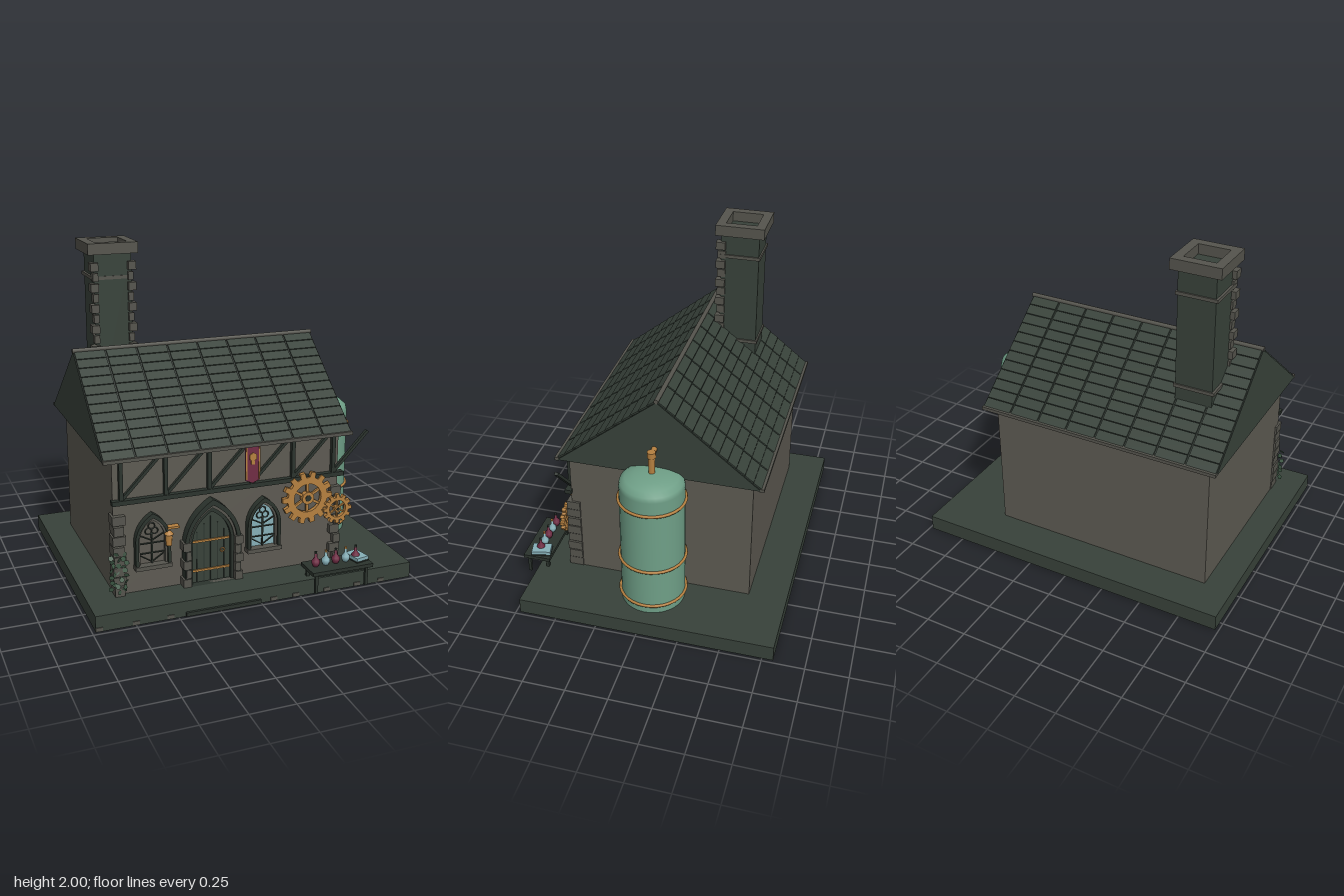
import * as THREE from 'three';

const mat = (name, color) => {
  const m = new THREE.MeshStandardMaterial({ color, side: THREE.DoubleSide });
  m.name = name;
  return m;
};

export function createModel() {
  const slate = mat('slate green', 0x38423a), timber = mat('dark timber', 0x2b332d);
  const stone = mat('wall stone', 0x5d5a52), trim = mat('trim stone', 0x55544d);
  const copper = mat('green copper', 0x6f9f87), brass = mat('brass', 0xb58040);
  const crimson = mat('crimson', 0x702c44), glass = mat('pale blue glass', 0x86b0b8);
  const leafGreen = mat('leaf green', 0x3f5a46);
  const model = new THREE.Group();

  const group = (name, parent = model) => {
    const g = new THREE.Group();
    g.name = name;
    parent.add(g);
    return g;
  };
  const add = (parent, name, geo, m, x = 0, y = 0, z = 0) => {
    const mesh = new THREE.Mesh(geo, m);
    mesh.name = name;
    mesh.position.set(x, y, z);
    parent.add(mesh);
    return mesh;
  };
  // box given by its limits
  const box = (parent, name, m, x0, x1, y0, y1, z0, z1) =>
    add(parent, name, new THREE.BoxGeometry(x1 - x0, y1 - y0, z1 - z0), m, (x0 + x1) / 2, (y0 + y1) / 2, (z0 + z1) / 2);
  // flat bar between two points in a plane of constant z
  const bar = (parent, name, m, x0, y0, x1, y1, width, z, depth) => {
    const b = add(parent, name, new THREE.BoxGeometry(Math.hypot(x1 - x0, y1 - y0), width, depth), m, (x0 + x1) / 2, (y0 + y1) / 2, z);
    b.rotation.z = Math.atan2(y1 - y0, x1 - x0);
    return b;
  };
  const extrude = (shape, depth) => new THREE.ExtrudeGeometry(shape, { depth, bevelEnabled: false, curveSegments: 10 });
  const arch = (half, base, spring, apex, C = THREE.Shape) => {
    const s = new C();
    s.moveTo(-half, base);
    s.lineTo(half, base);
    s.lineTo(half, spring);
    s.quadraticCurveTo(half * 0.9, spring + (apex - spring) * 0.65, 0, apex);
    s.quadraticCurveTo(-half * 0.9, spring + (apex - spring) * 0.65, -half, spring);
    s.closePath();
    return s;
  };
  const archFrame = (o, i) => {
    const s = arch(...o);
    s.holes.push(arch(...i, THREE.Path));
    return s;
  };

  // Ground slab with step and cobbles
  box(model, 'baseSlab', slate, -0.98, 0.98, 0, 0.095, -0.815, 0.725);
  box(model, 'frontStep', timber, -0.46, -0.005, 0.005, 0.028, 0.7, 0.74);
  for (const x of [-0.96, -0.75, -0.55, 0.08, 0.22, 0.42, 0.62, 0.78])
    box(model, 'cobble', trim, x - 0.02, x + 0.02, 0.004, 0.026, 0.71, 0.73);

  // House body
  box(model, 'walls', stone, -0.81, 0.575, 0.095, 0.93, -0.587, 0.513);

  // Roof: solid prism, rows of slates, ridge and eaves
  const roof = group('roof');
  const x0 = -0.872, x1 = 0.637, ridgeZ = -0.04, ridgeY = 1.39, eaveY = 0.91, run = 0.6;
  const tri = new THREE.Shape([[-run, eaveY], [run, eaveY], [0, ridgeY]].map(p => new THREE.Vector2(...p)));
  const prism = add(roof, 'roofCore', extrude(tri, x1 - x0), timber, x0, 0, ridgeZ);
  prism.rotation.y = Math.PI / 2;
  for (const x of [x0 - 0.002, x1 + 0.002]) {
    const g = add(roof, 'gable', new THREE.ShapeGeometry(tri), slate, x, 0, ridgeZ);
    g.rotation.y = x > 0 ? Math.PI / 2 : -Math.PI / 2;
  }
  const rows = 12, cols = 8, slope = Math.atan2(ridgeY - eaveY, run);
  const len = Math.hypot(run, ridgeY - eaveY), w = (x1 - x0) / cols;
  for (const side of [1, -1]) {
    const face = group('roofSlope', roof);
    face.position.set(0, ridgeY, ridgeZ);
    face.rotation.y = side > 0 ? 0 : Math.PI;
    const pitch = group('slates', face);
    pitch.rotation.x = slope;
    const mid = side * (x0 + x1) / 2;
    for (let r = 0; r < rows; r++) for (let c = 0; c < cols; c++) {
      const t = add(pitch, 'slate', new THREE.BoxGeometry(w - 0.01, 0.008, len / rows - 0.003), slate,
        mid + (c - (cols - 1) / 2) * w, 0.006, (r + 0.5) * len / rows);
      t.rotation.x = -0.06;
    }
    const ez = ridgeZ + side * (run + 0.005);
    box(roof, 'eaveBoard', trim, x0, x1, 0.903, 0.923, ez - 0.013, ez + 0.013);
  }
  const ridge = add(roof, 'ridgeCap', new THREE.CylinderGeometry(0.014, 0.014, x1 - x0 + 0.01, 8), trim, (x0 + x1) / 2, 1.397, ridgeZ);
  ridge.rotation.z = Math.PI / 2;

  // Chimney
  const chimney = group('chimney');
  box(chimney, 'shaft', slate, -0.71, -0.485, 0.98, 1.94, -0.365, -0.13);
  const ring = (name, y0, y1, ho, hi) => {
    const s = new THREE.Shape([[-ho, -ho], [ho, -ho], [ho, ho], [-ho, ho]].map(p => new THREE.Vector2(...p)));
    s.holes.push(new THREE.Path([[-hi, -hi], [-hi, hi], [hi, hi], [hi, -hi]].map(p => new THREE.Vector2(...p))));
    add(chimney, name, extrude(s, y1 - y0), trim, -0.6, y0, -0.25).rotation.x = -Math.PI / 2;
  };
  ring('cap', 1.935, 2, 0.15, 0.095);
  ring('upperBand', 1.785, 1.805, 0.124, 0.1);
  ring('lowerBand', 1.22, 1.24, 0.124, 0.1);
  for (let i = 0; i < 10; i++) for (const s of [-1, 1]) {
    const y = 1.29 + i * 0.061, out = i % 2 ? 0.137 : 0.122, a = -0.6 + s * 0.09, b = -0.6 + s * out;
    box(chimney, 'chimneyQuoin', trim, Math.min(a, b), Math.max(a, b), y, y + 0.048, -0.16, i % 2 ? -0.102 : -0.11);
  }

  // Corner stones of the front wall
  const quoins = group('cornerStones');
  for (let i = 0; i < 8; i++) {
    const y = 0.097 + i * 0.061, k = i % 2 ? 0.012 : 0, j = i % 3 === 0 ? 0.006 : 0;
    box(quoins, 'leftQuoin', trim, -0.822 + j, -0.758 + k, y, y + 0.054, 0.46, 0.548 - k / 2);
    box(quoins, 'rightQuoin', trim, 0.545 - k * 2, 0.588 - j, y, y + 0.054, 0.46, 0.548 - k / 2);
  }

  // Timber framing
  const frame = group('timberFrame');
  box(frame, 'lowerBeam', timber, -0.82, 0.6, 0.643, 0.67, 0.505, 0.545);
  box(frame, 'upperBeam', timber, -0.82, 0.6, 0.892, 0.915, 0.505, 0.54);
  for (let i = 0; i < 6; i++) {
    const x = -0.765 + i * 0.26;
    box(frame, 'post', timber, x - 0.011, x + 0.011, 0.66, 0.9, 0.505, 0.54);
    bar(frame, 'brace', timber, x + 0.005, 0.67, x + 0.225, 0.9, 0.018, 0.522, 0.022);
  }

  // Arched door
  const door = group('door');
  door.position.set(-0.235, 0, 0.51);
  add(door, 'outerArch', extrude(archFrame([0.172, 0.095, 0.36, 0.615], [0.148, 0.095, 0.36, 0.58]), 0.06), timber);
  add(door, 'archStone', extrude(archFrame([0.148, 0.095, 0.36, 0.58], [0.135, 0.095, 0.36, 0.56]), 0.045), trim);
  add(door, 'innerArch', extrude(archFrame([0.135, 0.095, 0.36, 0.56], [0.118, 0.095, 0.36, 0.535]), 0.035), timber);
  add(door, 'doorLeaf', extrude(arch(0.12, 0.095, 0.36, 0.54), 0.012), slate);
  for (let i = -2; i <= 2; i++)
    box(door, 'plankGap', timber, i * 0.042 - 0.003, i * 0.042 + 0.003, 0.097, 0.5 - Math.abs(i) * 0.045, 0.01, 0.015);
  for (const y of [0.17, 0.352]) box(door, 'hingeStrap', brass, -0.113, 0.113, y - 0.006, y + 0.006, 0.012, 0.021);
  add(door, 'handle', new THREE.TorusGeometry(0.012, 0.004, 6, 12), brass, 0.07, 0.28, 0.02);
  for (let i = 0; i < 5; i++) for (const s of [-1, 1]) {
    const y = 0.097 + i * 0.056, a = s * 0.135, b = s * (i % 2 ? 0.165 : 0.183);
    box(door, 'jambStone', trim, Math.min(a, b), Math.max(a, b), y, y + 0.05, 0, 0.065);
  }

  // Arched windows
  for (const [x, pane] of [[-0.59, stone], [0.09, glass]]) {
    const win = group('window');
    win.position.set(x, 0, 0.51);
    add(win, 'pane', extrude(arch(0.08, 0.255, 0.42, 0.54), 0.006), pane);
    add(win, 'surround', extrude(archFrame([0.104, 0.255, 0.42, 0.575], [0.086, 0.255, 0.42, 0.548]), 0.045), timber);
    add(win, 'innerSurround', extrude(archFrame([0.086, 0.255, 0.42, 0.548], [0.074, 0.255, 0.42, 0.53]), 0.028), trim);
    box(win, 'sill', trim, -0.108, 0.108, 0.24, 0.264, 0, 0.055);
    box(win, 'mullion', timber, -0.004, 0.004, 0.26, 0.45, 0.004, 0.016);
    for (const y of [0.325, 0.385]) box(win, 'glazingBar', timber, -0.075, 0.075, y - 0.003, y + 0.003, 0.004, 0.014);
    for (const s of [-1, 1]) {
      bar(win, 'lancetBar', timber, 0, 0.4, s * 0.075, 0.44, 0.006, 0.009, 0.01);
      bar(win, 'lancetBar', timber, 0, 0.27, s * 0.07, 0.315, 0.005, 0.009, 0.01);
    }
    for (let k = 0; k < 3; k++) {
      const a = Math.PI / 2 + k * Math.PI * 2 / 3;
      add(win, 'trefoil', new THREE.TorusGeometry(0.019, 0.004, 6, 16), timber, 0.021 * Math.cos(a), 0.468 + 0.021 * Math.sin(a), 0.01);
    }
  }

  // Wall lantern
  const lantern = group('lantern');
  box(lantern, 'bracket', brass, -0.505, -0.435, 0.468, 0.48, 0.52, 0.56);
  add(lantern, 'lanternBody', new THREE.CylinderGeometry(0.022, 0.018, 0.07, 8), brass, -0.497, 0.405, 0.55);
  add(lantern, 'lanternTop', new THREE.ConeGeometry(0.028, 0.03, 8), brass, -0.497, 0.452, 0.55);

  // Gears
  const gear = (name, x, y, teeth, tip, root, hole, hub, z) => {
    const g = group(name);
    g.position.set(x, y, z);
    const pts = [], step = Math.PI * 2 / teeth;
    for (let i = 0; i < teeth; i++)
      for (const [f, r] of [[-0.3, root], [-0.21, tip], [0.21, tip], [0.3, root]])
        pts.push(new THREE.Vector2(r * Math.cos((i + f) * step), r * Math.sin((i + f) * step)));
    const s = new THREE.Shape(pts);
    s.holes.push(new THREE.Path().absarc(0, 0, hole, 0, Math.PI * 2, true));
    add(g, 'toothedRim', extrude(s, 0.025), brass);
    for (let i = 0; i < 3; i++)
      add(g, 'spoke', new THREE.BoxGeometry(hole * 2.1, hub * 0.4, 0.014), brass, 0, 0, 0.012).rotation.z = i * Math.PI / 3 + Math.PI / 6;
    add(g, 'hub', new THREE.CylinderGeometry(hub, hub, 0.034, 16), brass, 0, 0, 0.014).rotation.x = Math.PI / 2;
    add(g, 'axle', new THREE.CylinderGeometry(hub * 0.5, hub * 0.5, 0.04, 10), timber, 0, 0, 0.014).rotation.x = Math.PI / 2;
  };
  gear('largeGear', 0.365, 0.535, 14, 0.16, 0.128, 0.088, 0.038, 0.53);
  gear('smallGear', 0.557, 0.445, 12, 0.092, 0.073, 0.053, 0.02, 0.545);

  // Banner
  const banner = group('banner');
  banner.position.set(0.013, 0, 0.545);
  const cloth = [[-0.046, 0.91], [-0.046, 0.695], [0, 0.675], [0.046, 0.695], [0.046, 0.91]];
  add(banner, 'cloth', extrude(new THREE.Shape(cloth.map(p => new THREE.Vector2(...p))), 0.006), crimson);
  for (const x of [-0.04, 0.04]) box(banner, 'bannerEdge', brass, x - 0.004, x + 0.004, 0.7, 0.91, 0.004, 0.011);
  add(banner, 'medallion', new THREE.CylinderGeometry(0.026, 0.026, 0.008, 6), brass, 0, 0.835, 0.009).rotation.x = Math.PI / 2;
  add(banner, 'medallionTail', new THREE.BoxGeometry(0.024, 0.03, 0.006), brass, 0, 0.805, 0.008);

  // Storage tank with hoops and pipe
  const tank = group('tank');
  tank.position.set(0.697, 0, -0.027);
  const profile = [[0.19, 0.095], [0.19, 0.89], [0.183, 0.92], [0.155, 0.945], [0.1, 0.962], [0.05, 0.968], [0, 0.97]];
  add(tank, 'tankBody', new THREE.LatheGeometry(profile.map(p => new THREE.Vector2(...p)), 32), copper);
  for (const y of [0.15, 0.402, 0.802])
    add(tank, 'hoop', new THREE.TorusGeometry(0.196, 0.009, 6, 32), brass, 0, y, 0).rotation.x = Math.PI / 2;
  add(tank, 'riser', new THREE.CylinderGeometry(0.019, 0.019, 0.14, 12), brass, 0, 1.025, 0);
  add(tank, 'elbow', new THREE.CylinderGeometry(0.025, 0.025, 0.035, 12), brass, 0, 1.088, 0);
  add(tank, 'crossPipe', new THREE.CylinderGeometry(0.017, 0.017, 0.13, 12), brass, -0.065, 1.088, 0).rotation.z = Math.PI / 2;

  // Table with flasks and book
  const table = group('table');
  box(table, 'tableTop', timber, 0.285, 0.675, 0.155, 0.177, 0.647, 0.815);
  box(table, 'apron', timber, 0.31, 0.65, 0.135, 0.156, 0.67, 0.79);
  for (const x of [0.318, 0.642]) for (const z of [0.67, 0.79])
    box(table, 'tableLeg', timber, x - 0.009, x + 0.009, 0.037, 0.156, z - 0.009, z + 0.009);
  const flask = [[0, 0], [0.016, 0], [0.025, 0.018], [0.024, 0.035], [0.009, 0.054], [0.008, 0.078], [0, 0.078]];
  for (let i = 0; i < 5; i++) {
    const x = 0.342 + i * 0.065;
    add(table, 'flask', new THREE.LatheGeometry(flask.map(p => new THREE.Vector2(...p)), 12), i % 2 ? glass : crimson, x, 0.178, 0.727);
    add(table, 'stopper', new THREE.CylinderGeometry(0.008, 0.007, 0.014, 8), i % 2 ? brass : timber, x, 0.262, 0.727);
  }
  const book = group('openBook', table);
  book.position.set(0.615, 0.19, 0.717);
  book.rotation.y = 0.22;
  add(book, 'pages', new THREE.BoxGeometry(0.085, 0.02, 0.115), glass, 0, 0.005, 0);
  add(book, 'cover', new THREE.BoxGeometry(0.09, 0.006, 0.12), timber, 0, -0.009, 0);

  // Ivy climbing the left corner
  const ivy = group('ivy');
  for (let i = 0; i < 26; i++) {
    const leaf = add(ivy, 'leaf', new THREE.CircleGeometry(0.017, 5), leafGreen,
      -0.795 + 0.045 * Math.sin(i * 2.4), 0.13 + i * 0.0092, 0.553 + 0.008 * Math.cos(i * 1.7));
    leaf.rotation.set(0.5 * Math.sin(i * 1.3), 0.6 * Math.cos(i * 2.1), i * 1.9);
  }
  return model;
}
